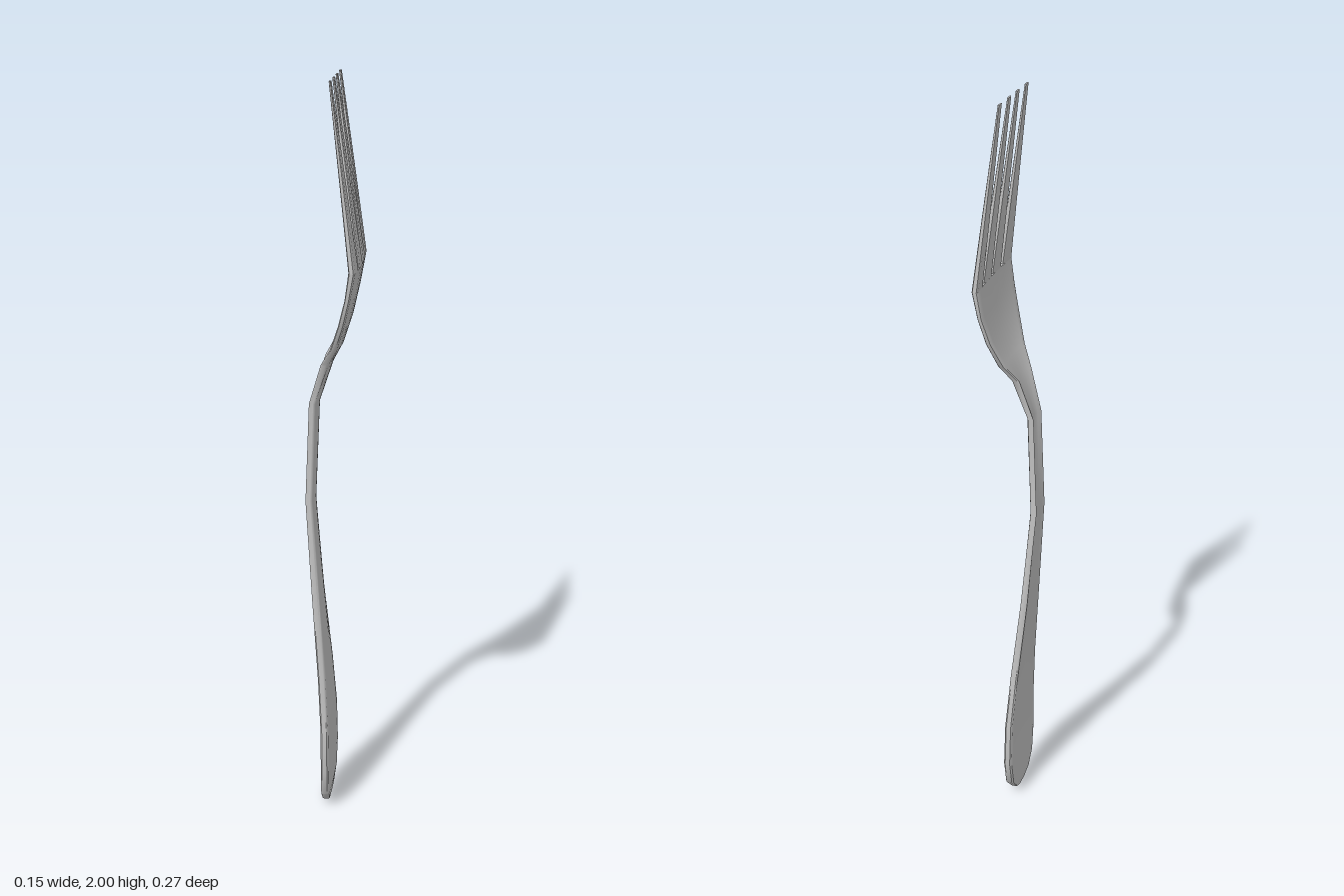
import * as THREE from 'three';
import { toCreasedNormals } from 'three/addons/utils/BufferGeometryUtils.js';

// Lofts closed cross-sections stacked along y. Each section gives
// y, z range, thickness and a function for the mid surface x at z.
function loft(sections, cols) {
  const ringSize = 2 * (cols + 1);
  const pos = [], idx = [];
  for (const s of sections) {
    const point = (k, side) => {
      const u = -Math.cos((k / cols) * Math.PI);
      const z = (s.z0 + s.z1) / 2 + (u * (s.z1 - s.z0)) / 2;
      const half = (s.t / 2) * (Math.abs(u) > 0.99 ? 0.6 : 1); // softened rim
      pos.push(s.mid(z) + side * half, s.y, z);
    };
    for (let k = 0; k <= cols; k++) point(k, 1);
    for (let k = cols; k >= 0; k--) point(k, -1);
  }
  for (let i = 0; i < sections.length - 1; i++) {
    for (let j = 0; j < ringSize; j++) {
      const a = i * ringSize + j, b = i * ringSize + ((j + 1) % ringSize);
      idx.push(a, a + ringSize, b, b, a + ringSize, b + ringSize);
    }
  }
  // end caps
  const top = (sections.length - 1) * ringSize;
  for (let j = 0; j < cols; j++) {
    const k = ringSize - 1 - j;
    idx.push(j, j + 1, k - 1, j, k - 1, k);
    idx.push(top + j, top + k - 1, top + j + 1, top + j, top + k, top + k - 1);
  }
  const geo = new THREE.BufferGeometry();
  geo.setAttribute('position', new THREE.Float32BufferAttribute(pos, 3));
  geo.setIndex(idx);
  return toCreasedNormals(geo, 0.8);
}

// Mid surface: the centre line bulges toward +x by the dish depth.
const dished = (xMin, xMax, dish, w) => {
  const t = xMax - xMin - dish;
  return { t, mid: (z) => xMin + t / 2 + dish * (1 - (z / w) ** 2) };
};

export function createModel() {
  const steel = new THREE.MeshStandardMaterial({ color: 0xc0c0c0 });
  const group = new THREE.Group();
  const add = (name, geo) => {
    const mesh = new THREE.Mesh(geo, steel);
    mesh.name = name;
    group.add(mesh);
  };

  // y, back x, front x, dish depth, half width
  const profile = [
    [0.005, -0.024, -0.012, 0.0, 0.02],
    [0.02, -0.026, -0.006, 0.001, 0.056],
    [0.055, -0.026, -0.002, 0.002, 0.09],
    [0.13, -0.025, 0.0, 0.003, 0.107],
    [0.25, -0.026, -0.002, 0.003, 0.102],
    [0.4, -0.035, -0.011, 0.004, 0.084],
    [0.63, -0.054, -0.03, 0.006, 0.057],
    [0.9, -0.073, -0.049, 0.008, 0.037],
    [1.17, -0.063, -0.038, 0.01, 0.035],
    [1.28, -0.03, -0.002, 0.009, 0.052],
    [1.33, -0.002, 0.024, 0.008, 0.085],
    [1.4, 0.022, 0.046, 0.008, 0.116],
    [1.47, 0.04, 0.061, 0.007, 0.132],
    [1.54, 0.05, 0.073, 0.006, 0.136],
  ];
  const sections = profile.map(([y, xMin, xMax, dish, w]) => (
    { y, z0: -w, z1: w, ...dished(xMin, xMax, dish, w) }));
  add('handleAndBowl', loft(sections, 10));

  // Tines: base range and tip range in z, mirrored to both sides
  const tines = [
    ['outerTine', [0.08, 0.136], [0.092, 0.112]],
    ['innerTine', [0.006, 0.065], [0.022, 0.042]],
  ];
  for (const [name, base, tip] of tines) {
    for (const side of [1, -1]) {
      const rows = [0, 0.25, 0.5, 0.75, 1].map((f) => {
        const mix = (a, b) => a + (b - a) * f;
        const e = [mix(base[0], tip[0]) * side, mix(base[1], tip[1]) * side];
        return {
          y: mix(1.54, 2), z0: Math.min(...e), z1: Math.max(...e),
          ...dished(mix(0.05, 0), mix(0.073, 0.005), mix(0.006, 0), 0.136),
        };
      });
      add(name + (side > 0 ? 'Front' : 'Back'), loft(rows, 4));
    }
  }
  return group;
}
